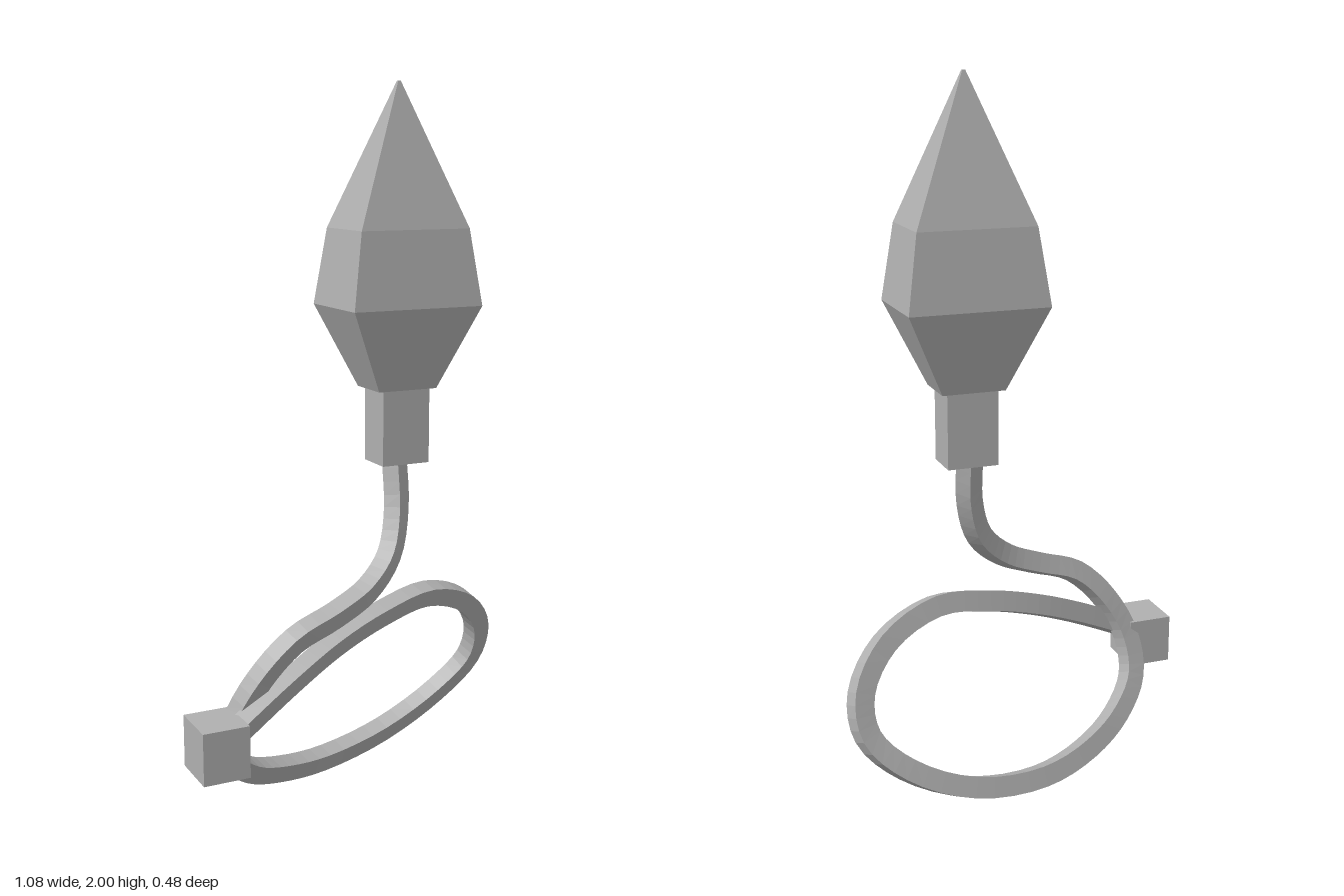
import * as THREE from 'three';

// Loft through four-cornered sections (counter-clockwise about the direction of travel), with end caps.
function loft(sections) {
  const pos = [];
  const quad = (a, b, c, d) => [a, b, c, a, c, d].forEach((p) => pos.push(p.x, p.y, p.z));
  for (let i = 0; i < sections.length - 1; i++) {
    const lo = sections[i], hi = sections[i + 1];
    for (let k = 0; k < 4; k++) {
      const m = (k + 1) % 4;
      quad(lo[k], lo[m], hi[m], hi[k]);
    }
  }
  const s = sections[0], e = sections[sections.length - 1];
  quad(s[3], s[2], s[1], s[0]);
  quad(e[0], e[1], e[2], e[3]);
  const geo = new THREE.BufferGeometry();
  geo.setAttribute('position', new THREE.Float32BufferAttribute(pos, 3));
  geo.computeVertexNormals();
  return geo;
}

// Rectangular section with half sizes along two axes
function section(centre, b, s, hb, hs) {
  return [[1, 1], [-1, 1], [-1, -1], [1, -1]].map(([i, j]) =>
    centre.clone().addScaledVector(b, i * hb).addScaledVector(s, j * hs));
}

export function createModel() {
  const group = new THREE.Group();
  const grey = new THREE.MeshStandardMaterial({ color: 0xb0b0b0, flatShading: true });
  grey.name = 'grey';
  const add = (name, geo, x = 0, y = 0, z = 0) => {
    const mesh = new THREE.Mesh(geo, grey);
    mesh.name = name;
    mesh.position.set(x, y, z);
    group.add(mesh);
  };

  // Pointed blade: height, half width, half depth
  const X = new THREE.Vector3(1, 0, 0), Z = new THREE.Vector3(0, 0, 1);
  const blade = [[1.17, 0.089, 0.066], [1.4, 0.195, 0.13], [1.61, 0.164, 0.108], [2, 0.004, 0.004]];
  add('blade', loft(blade.map(([y, w, d]) =>
    section(new THREE.Vector3(0.146, y, -0.016), Z, X, d, w))));

  // Collar under the blade and block at the far end
  add('collar', new THREE.BoxGeometry(0.144, 0.212, 0.112), 0.146, 1.065, -0.014);
  add('endBlock', new THREE.BoxGeometry(0.13, 0.144, 0.148), -0.475, 0.283, 0.159);

  // Cord: runs down from the collar, makes one tilted loop and ends at the block
  const path = [
    [0.138, 0.98, -0.015], [0.128, 0.83, 0.02], [0.085, 0.71, 0.06], [0, 0.63, 0.095],
    [-0.11, 0.58, 0.12], [-0.24, 0.53, 0.135], [-0.34, 0.43, 0.125], [-0.4, 0.31, 0.1],
    [-0.4, 0.2, 0.055], [-0.32, 0.115, -0.015], [-0.19, 0.06, -0.09], [-0.02, 0.036, -0.155],
    [0.2, 0.07, -0.2], [0.39, 0.165, -0.205], [0.49, 0.27, -0.18], [0.495, 0.38, -0.14],
    [0.41, 0.49, -0.08], [0.25, 0.55, -0.022], [0.08, 0.525, 0.02], [-0.08, 0.475, 0.06],
    [-0.24, 0.405, 0.108], [-0.425, 0.31, 0.163],
  ].map((p) => new THREE.Vector3(...p));
  const curve = new THREE.CatmullRomCurve3(path);

  // The flat of the cord turns gradually into the plane of the loop
  const flatTop = new THREE.Vector3(0.55, -0.2, 0.8);
  const flatLoop = new THREE.Vector3(0.26, -0.35, 0.9);
  const rings = [];
  const steps = 84;
  for (let i = 0; i <= steps; i++) {
    const u = i / steps;
    const t = curve.getTangent(u);
    const b = flatTop.clone().lerp(flatLoop, Math.min(1, u * 3));
    b.addScaledVector(t, -b.dot(t)).normalize();
    const s = t.clone().cross(b);
    rings.push(section(curve.getPoint(u), b, s, 0.025, 0.029));
  }
  add('cord', loft(rings));

  return group;
}
